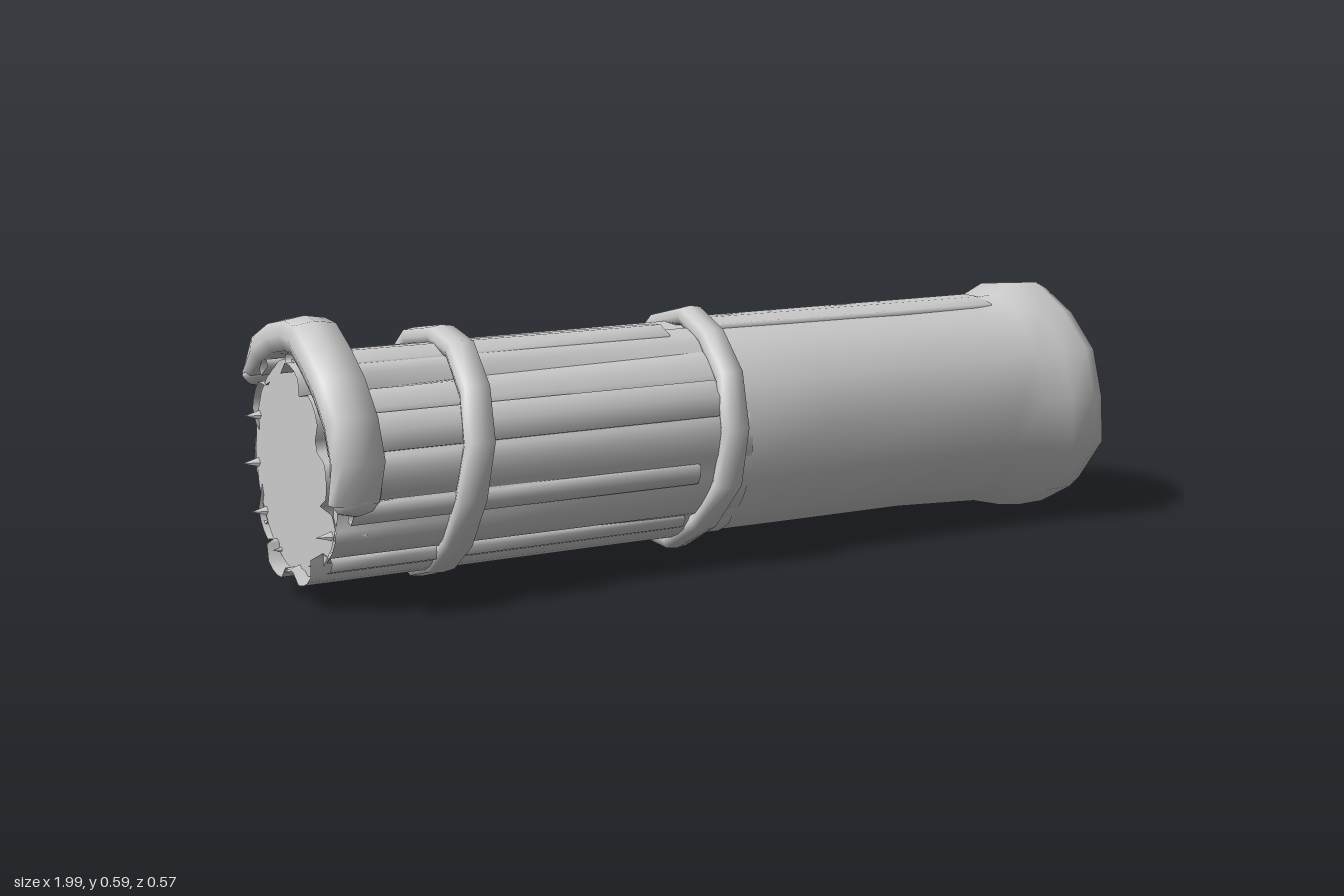
import * as THREE from 'three';

const TAU = Math.PI * 2, CY = 0.288;
const mat = new THREE.MeshStandardMaterial({ color: 0xcccccc, side: THREE.DoubleSide });

// small repeatable wobble in [-1, 1]
const noise = (a, b = 0) => {
  const s = Math.sin(a * 12.9898 + b * 78.233) * 43758.5453;
  return (s - Math.floor(s)) * 2 - 1;
};

// point at distance r from the long axis; angle 0 is the top, a quarter turn is the front
const polar = (x, r, a, cy = CY) => [x, cy + r * Math.cos(a), r * Math.sin(a)];

// skin over nu rows of nv points, each row closed into a loop; rows may close too
function skin(name, nu, nv, point, closeRows = false) {
  const pos = [], index = [];
  for (let i = 0; i < nu; i++) for (let j = 0; j < nv; j++) pos.push(...point(i, j));
  for (let i = 0; i < (closeRows ? nu : nu - 1); i++) {
    for (let j = 0; j < nv; j++) {
      const k = (j + 1) % nv, n = ((i + 1) % nu) * nv, m = i * nv;
      index.push(m + j, m + k, n + j, m + k, n + k, n + j);
    }
  }
  const g = new THREE.BufferGeometry();
  g.setAttribute('position', new THREE.Float32BufferAttribute(pos, 3));
  g.setIndex(index);
  g.computeVertexNormals();
  const mesh = new THREE.Mesh(g, mat);
  mesh.name = name;
  return mesh;
}

// strap running around the axis from angle a0 to a1
function strap(name, { xAt, r, halfWidth, thick, a0 = 0, a1 = TAU, steps, cy = CY, seed }) {
  const full = a1 - a0 > 6.28, sides = 8;
  return skin(name, steps, sides, (i, j) => {
    const a = a0 + (a1 - a0) * i / (full ? steps : steps - 1);
    const p = -j / sides * TAU;
    const tip = !full && (i === 0 || i === steps - 1) ? 0.55 : 1;
    const sq = v => Math.sign(v) * Math.pow(Math.abs(v), 0.6);
    const rr = r + 0.008 * noise(i, seed) + thick * tip * sq(Math.sin(p));
    return polar(xAt(a) + 0.008 * noise(i, seed + 3) + halfWidth * sq(Math.cos(p)), rr, a, cy);
  }, full);
}

export function createModel() {
  const group = new THREE.Group();

  // pleated inner wrap with a ragged left edge
  const xs = [-0.97, -0.88, -0.75, -0.6, -0.4, -0.2, 0];
  const pleats = 10, per = 6, nv = pleats * per;
  group.add(skin('pleatedWrap', xs.length, nv, (i, j) => {
    const p = Math.floor(j / per), f = (j % per) / (per - 1);
    const depth = [0.032, 0.03, 0.026, 0.02, 0.016, 0.012, 0.008][i];
    const r = 0.238 - depth * Math.pow(Math.abs(f * 2 - 1), 4) + 0.006 * noise(p, 2);
    const x = xs[i] + (i === 0 ? 0.02 * noise(p, 5) : 0);
    return polar(x, r, (j + 0.8 * noise(p, 9)) / nv * TAU);
  }));

  // overlapping strips lying on the pleated wrap
  for (let k = 0; k < 8; k++) {
    const a = k / 8 * TAU + 0.25 + 0.15 * noise(k, 4), w = 0.14 + 0.05 * noise(k, 6);
    const x0 = -0.95 + 0.025 * noise(k, 7);
    group.add(skin('wrapStrip', 4, 6, (i, j) => {
      const x = [x0, -0.8, -0.6, -0.1 + 0.05 * noise(k, 8)][i];
      const t = [-1, 0, 1, 1, 0, -1][j], outer = j < 3;
      const r = outer ? 0.236 + 0.007 * (1 - t * t) : 0.22;
      return polar(x, r, a + t * w);
    }));
  }

  // flat left end
  const cap = new THREE.Mesh(new THREE.CircleGeometry(0.225, 20), mat);
  cap.rotation.y = -Math.PI / 2;
  cap.position.set(-0.955, CY, 0);
  cap.name = 'leftEnd';
  group.add(cap);

  // outer sleeve, flared to a thick rim, then turned in to a rolled core: [x, radius, wobble]
  const profile = [
    [-0.05, 0.238, 0.003], [0.2, 0.238, 0.004], [0.5, 0.24, 0.004], [0.72, 0.246, 0.004],
    [0.79, 0.256, 0.009], [0.86, 0.271, 0.009], [0.93, 0.269, 0.008], [0.965, 0.252, 0.006],
    [0.96, 0.225, 0.006], [0.925, 0.195, 0.006], [0.885, 0.172, 0.005], [0.89, 0.153, 0.005],
    [0.94, 0.14, 0.006], [0.985, 0.13, 0.008], [0.985, 0.112, 0.006], [0.94, 0.098, 0.005],
    [0.87, 0.085, 0.004], [0.85, 0.002, 0],
  ];
  const sides = 14;
  group.add(skin('sleeve', profile.length, sides, (i, j) => {
    const [x, r, w] = profile[i];
    const dx = i > 4 && i < 17 ? 0.012 * noise(j, i > 11 ? 21 : 20) : 0;
    return polar(x + dx, r + w * noise(j, i > 4 && i < 9 ? 11 : i), (j + 0.3) / sides * TAU, CY - (x > 0.7 ? 0.004 : 0));
  }));

  // raised overlap edge along the sleeve
  group.add(skin('sleeveSeam', 4, 6, (i, j) => {
    const x = [-0.02, 0.2, 0.5, 0.76][i];
    const t = [-1, 0, 1, 1, 0, -1][j];
    return polar(x, j < 3 ? 0.243 : 0.225, 0.05 + 0.02 * i + t * 0.22);
  }));

  // two slanting straps
  group.add(strap('leftStrap', {
    xAt: a => -0.655 + 0.03 * Math.cos(a) - 0.01 * Math.sin(a),
    r: 0.247, halfWidth: 0.034, thick: 0.022, steps: 14, cy: 0.293, seed: 31,
  }));
  group.add(strap('middleStrap', {
    xAt: a => -0.055 + 0.033 * Math.cos(a),
    r: 0.246, halfWidth: 0.032, thick: 0.022, steps: 13, cy: 0.291, seed: 47,
  }));

  // thick loose strap folded over the upper front of the left end
  group.add(strap('endFlap', {
    xAt: a => -0.935 + 0.008 * Math.cos(a),
    r: 0.265, halfWidth: 0.056, thick: 0.038, a0: -0.95, a1: 1.72, steps: 10, cy: 0.3, seed: 63,
  }));

  // close the two flap tips
  for (const a of [-0.95, 1.72]) {
    const tip = new THREE.Mesh(new THREE.SphereGeometry(1, 8, 6), mat);
    tip.scale.set(0.052, 0.022, 0.03);
    tip.position.set(...polar(-0.933, 0.262, a, 0.3));
    tip.rotation.x = a;
    tip.name = 'flapTip';
    group.add(tip);
  }

  // torn splinters on the lower and rear left edge
  for (let k = 0; k < 7; k++) {
    const a = 2.1 + k * 0.5;
    const shard = new THREE.Mesh(new THREE.ConeGeometry(0.028, 0.1, 4), mat);
    shard.rotation.z = Math.PI / 2;
    shard.position.set(...polar(-0.935 + 0.012 * noise(k, 70), 0.212, a));
    shard.name = 'splinter';
    group.add(shard);
  }

  return group;
}
